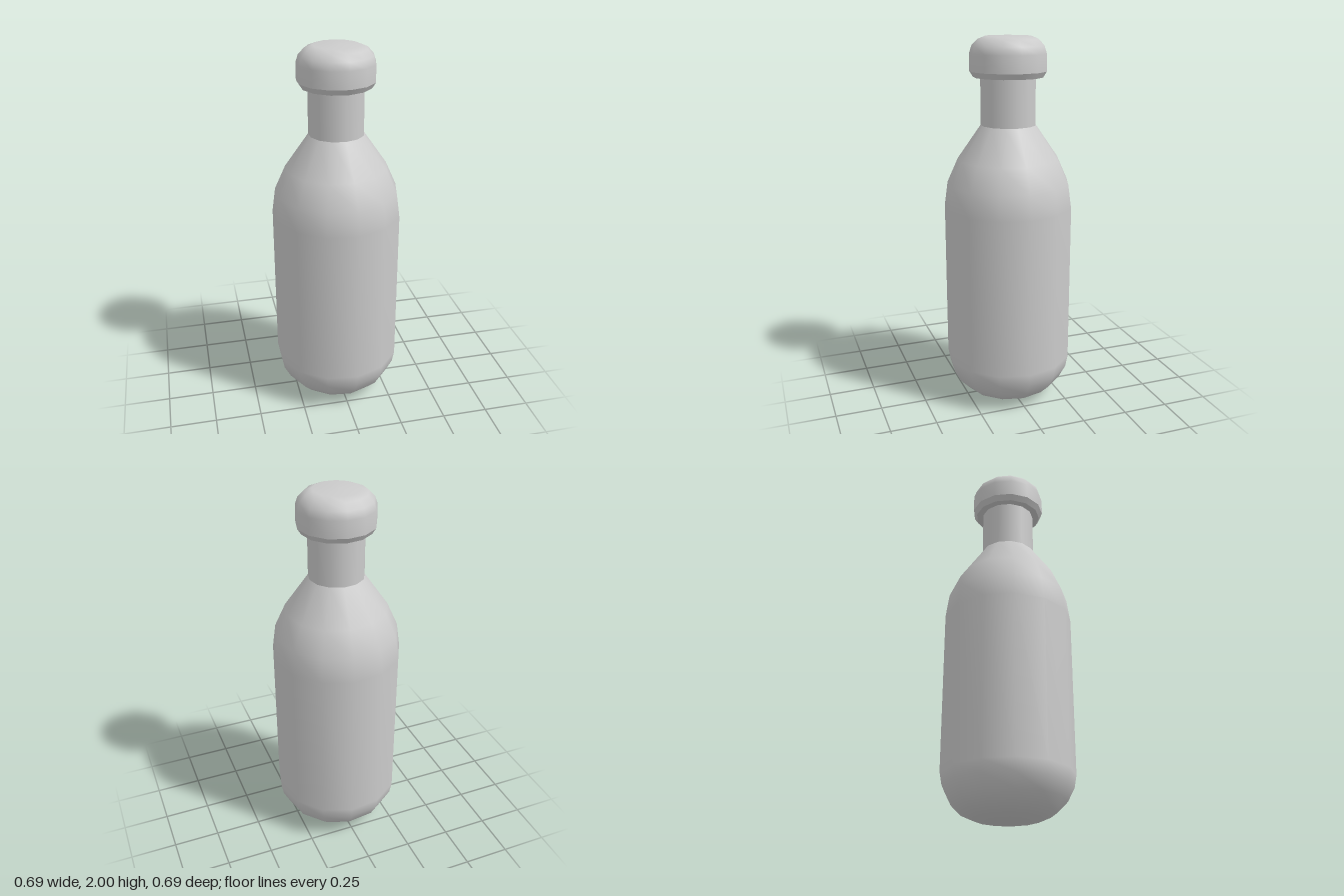
import * as THREE from 'three';

const SIDES = 13;

export function createModel() {
  const model = new THREE.Group();
  model.name = 'bottle';
  const material = new THREE.MeshStandardMaterial({ color: 0xcccccc });

  // Revolves a [radius, height] profile, listed bottom to top, with a corner on +x
  const turned = (name, profile) => {
    const points = profile.map(([r, y]) => new THREE.Vector2(r, y));
    const mesh = new THREE.Mesh(new THREE.LatheGeometry(points, SIDES, Math.PI / 2), material);
    mesh.name = name;
    mesh.position.x = -0.005; // centres the odd-sided outline
    model.add(mesh);
  };

  // Rounded base, straight wall and tapering shoulder
  turned('body', [
    [0, 0], [0.1, 0.002], [0.175, 0.014], [0.245, 0.045], [0.3, 0.1], [0.336, 0.17],
    [0.348, 0.235], [0.348, 1.1], [0.33, 1.23], [0.272, 1.36], [0.147, 1.54],
  ]);

  turned('neck', [[0.147, 1.54], [0.147, 1.8]]);

  // Chamfered underside of the cap, kept separate for a sharp edge
  turned('capUnderside', [[0.14, 1.79], [0.185, 1.79]]);
  turned('capChamfer', [[0.185, 1.79], [0.204, 1.82]]);

  // Cap wall with a rounded top
  turned('cap', [
    [0.204, 1.82], [0.204, 1.91], [0.191, 1.95], [0.16, 1.982], [0.12, 1.998], [0, 2],
  ]);

  return model;
}
